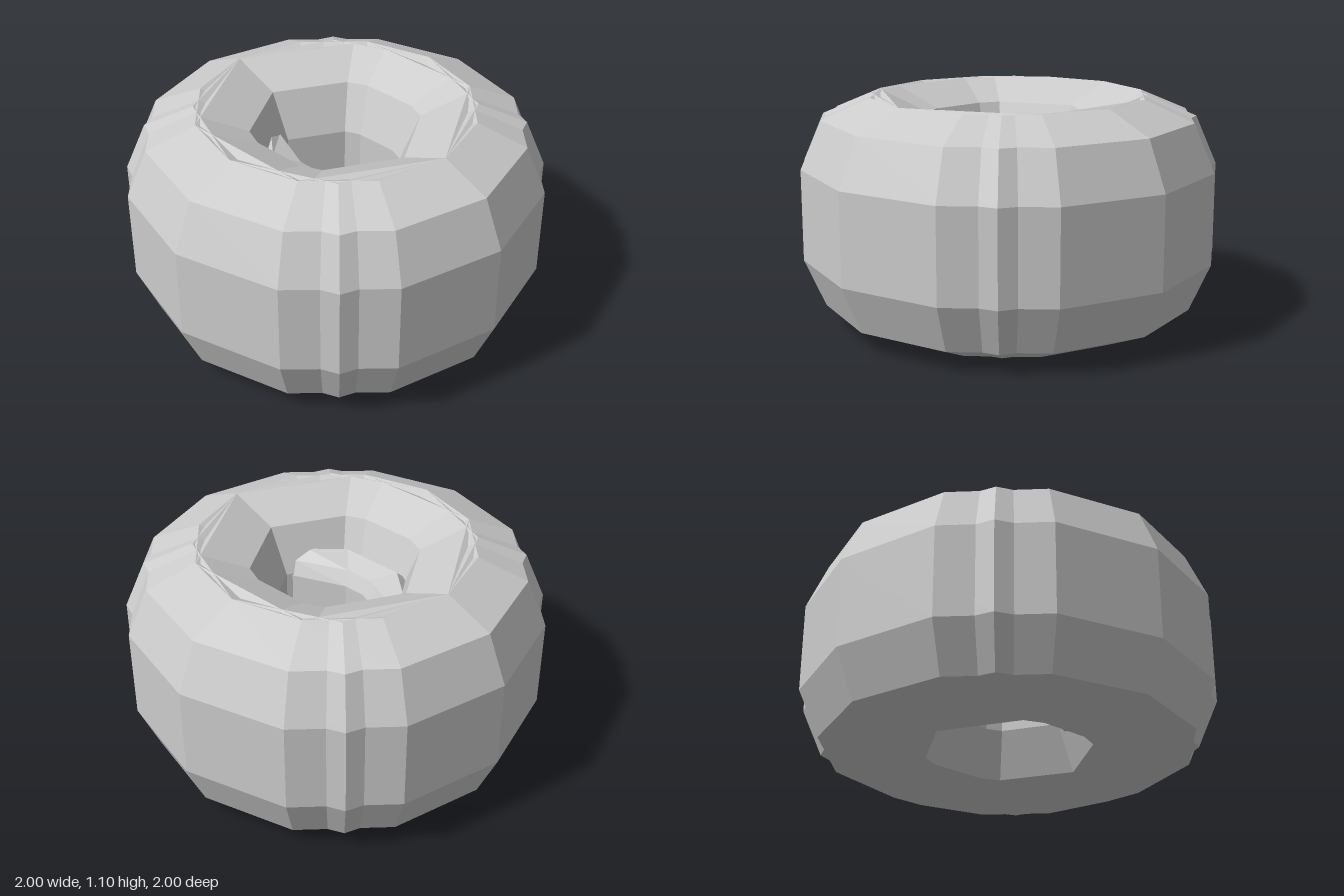
import * as THREE from 'three';

export function createModel() {
  const model = new THREE.Group();
  model.name = 'facetedRing';
  const material = new THREE.MeshStandardMaterial({
    color: 0xcccccc, flatShading: true, side: THREE.DoubleSide,
  });
  const MID = 0.55;

  // Closed ten-sided tube profile, running up the outside and down the inside
  const outer = [[0.665, 0], [0.9, 0.1], [1, 0.33], [1, 0.77], [0.9, 1.0], [0.665, 1.1]];
  const inner = outer.slice(1, -1).reverse().map(([r, y]) => [1.33 - r, y]);
  const profile = [...outer, ...inner, outer[0]].map(([r, y]) => new THREE.Vector2(r, y));

  // Three coarse rings overlap to give the corner ribs and the hexagonal hole
  for (const [name, sides] of [['hexagonRing', 6], ['octagonRing', 8], ['twelveSidedRing', 12]]) {
    const ring = new THREE.Mesh(new THREE.LatheGeometry(profile, sides, Math.PI / 2), material);
    ring.name = name;
    model.add(ring);
  }

  // Crescent ledge on the front wall of the hole: half rows [half height, end, corner]
  const upper = [
    [0.21, [0.33, 0.02], [0.055, 0.13]],
    [0.28, [0.33, 0.055], [0.07, 0.165]],
    [0.32, [0.31, 0.13], [0.16, 0.26]],
    [0.24, [0.33, 0.17], [0.2, 0.34]],
  ];
  const row = (h, [ax, az], [bx, bz]) =>
    [[ax, h, az], [bx, h, bz], [-bx, h, bz], [-ax, h, az]];
  const rows = [
    ...upper.map(([h, a, b]) => row(MID + h, a, b)),
    ...upper.map(([h, a, b]) => row(MID - h, a, b)).reverse(),
  ];
  const positions = rows.flat(2);
  const index = [];
  rows.forEach((_, i) => {
    const a = i * 4, b = ((i + 1) % rows.length) * 4;
    for (let j = 0; j < 3; j++) {
      index.push(a + j, a + j + 1, b + j, a + j + 1, b + j + 1, b + j);
    }
  });
  const geometry = new THREE.BufferGeometry();
  geometry.setAttribute('position', new THREE.Float32BufferAttribute(positions, 3));
  geometry.setIndex(index);
  geometry.computeVertexNormals();
  const ledge = new THREE.Mesh(geometry, material);
  ledge.name = 'innerLedge';
  model.add(ledge);

  return model;
}
